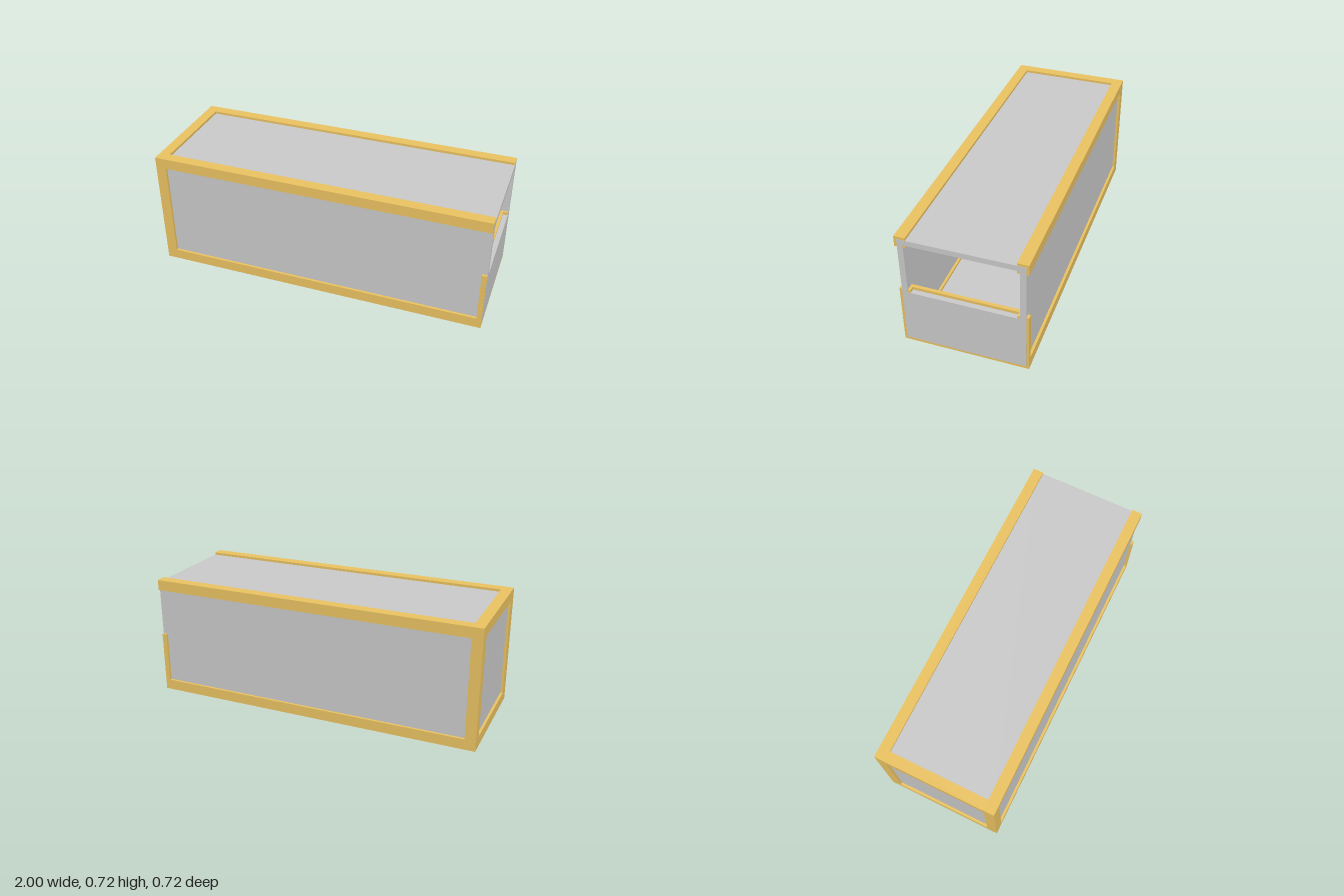
import * as THREE from 'three';

export function createModel() {
  const group = new THREE.Group();
  const grey = new THREE.MeshStandardMaterial({ color: 0xcccccc });
  const yellow = new THREE.MeshStandardMaterial({ color: 0xecc462 });

  // Box given by its lower and upper corner
  const box = (name, mat, [x0, y0, z0], [x1, y1, z1]) => {
    const mesh = new THREE.Mesh(new THREE.BoxGeometry(x1 - x0, y1 - y0, z1 - z0), mat);
    mesh.position.set((x0 + x1) / 2, (y0 + y1) / 2, (z0 + z1) / 2);
    mesh.name = name;
    group.add(mesh);
    return mesh;
  };

  const H = 0.72, W = 0.36, B = 0.063; // height, half width, beam size
  const inset = 0.015, inner = 0.048;  // panel faces, measured from the outside
  const end = 0.999;                   // beams stop just behind the panel edges
  const post = 0.97, sill = 0.37;      // short posts beside the open end

  // Recessed panels; the upper half of the +x end stays open
  box('floorPanel', grey, [-1 + inset, inset, -W + inset], [1, inner, W - inset]);
  box('roofPanel', grey, [-1 + inset, H - inner, -W + inset], [1, H - inset, W - inset]);
  box('closedEndPanel', grey, [-1 + inset, inner, -W + inner], [-1 + inner, H - inner, W - inner]);
  box('tailgatePanel', grey, [0.965, inner, -W + inner], [1, 0.353, W - inner]);

  for (const s of [-1, 1]) {
    const z0 = s > 0 ? W - B : -W, z1 = z0 + B;
    const p0 = s > 0 ? W - inner : -W + inset, p1 = p0 + inner - inset;
    box('sidePanel', grey, [-1 + inset, inner, p0], [1, H - inner, p1]);

    // Long rails and upright posts of the frame
    box('bottomRail', yellow, [-1, 0, z0], [end, B, z1]);
    box('topRail', yellow, [-1, H - B, z0], [end, H, z1]);
    box('cornerPost', yellow, [-1, B, z0], [-1 + B, H - B, z1]);
    box('shortPost', yellow, [post, B, z0], [end, sill, z1]);
  }

  // Cross bars between the rails
  const c = W - B;
  box('bottomCrossBar', yellow, [-1, 0, -c], [-1 + B, B, c]);
  box('topCrossBar', yellow, [-1, H - B, -c], [-1 + B, H, c]);
  box('tailgateBottomBar', yellow, [post, 0, -c], [end, B, c]);
  box('tailgateTopBar', yellow, [0.95, sill - B, -W + inner], [post, sill, W - inner]);

  return group;
}
